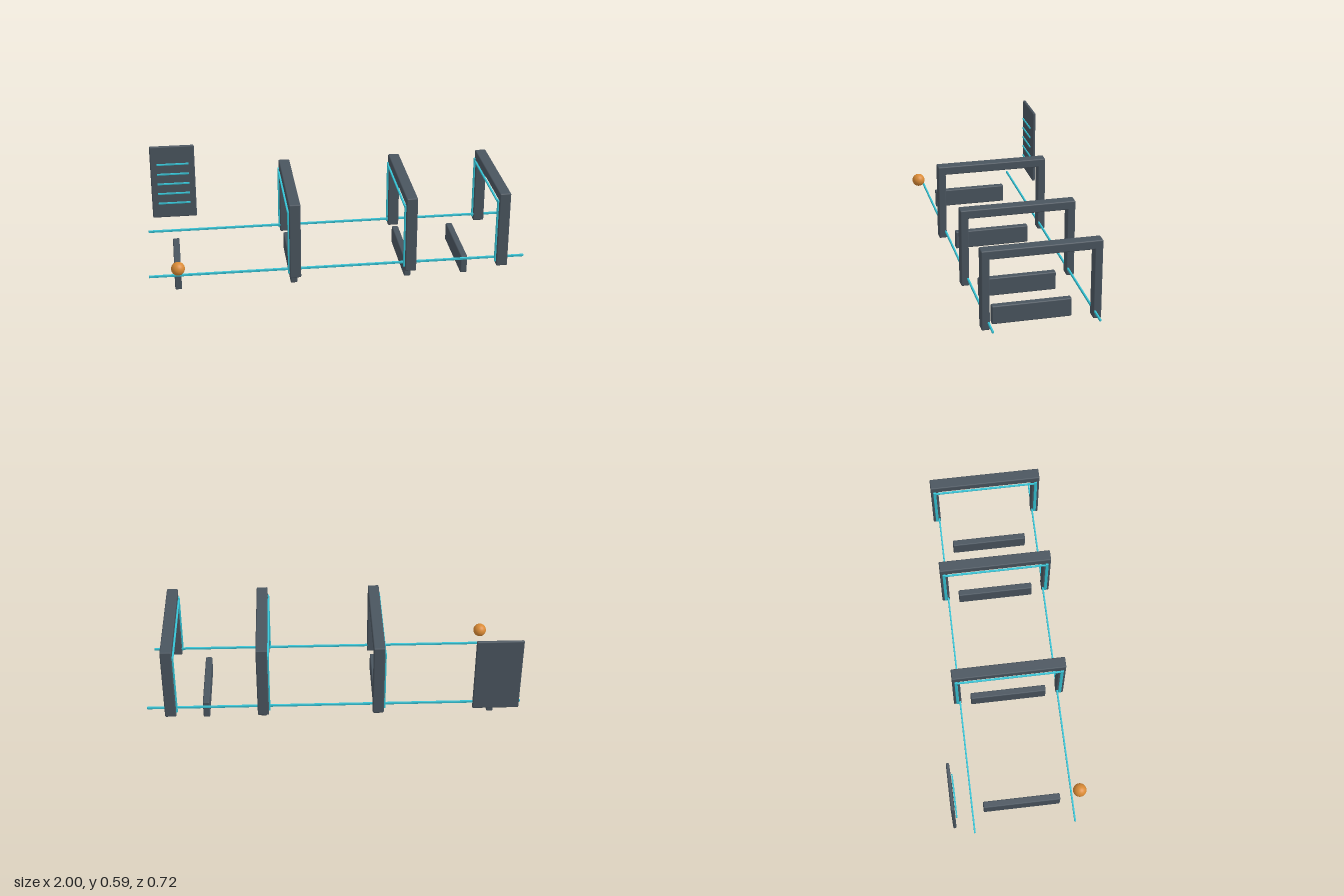
import * as THREE from 'three';
import { RoundedBoxGeometry } from 'three/addons/geometries/RoundedBoxGeometry.js';

const slate = new THREE.MeshStandardMaterial({ name: 'slate', color: 0x4a555f });
const cyan = new THREE.MeshStandardMaterial({ name: 'cyan', color: 0x35c4d6 });
const orange = new THREE.MeshStandardMaterial({ name: 'orange', color: 0xd98a35 });

// Softly rounded box given by its [min, max] range on each axis
function block(parent, name, material, x, y, z, radius) {
  const size = [x, y, z].map(([a, b]) => b - a);
  const mesh = new THREE.Mesh(new RoundedBoxGeometry(...size, 2, radius), material);
  mesh.position.set((x[0] + x[1]) / 2, (y[0] + y[1]) / 2, (z[0] + z[1]) / 2);
  mesh.name = name;
  parent.add(mesh);
}

// Range around a centre
const around = (c, width) => [c - width / 2, c + width / 2];

// Arch of two posts and a beam, with light strips along its right side
function createGate(x) {
  const gate = new THREE.Group();
  gate.name = 'gate';
  const depth = around(0, 0.06);
  const stripX = [-0.038, -0.028];
  for (const z of [0.299, -0.264]) {
    block(gate, 'post', slate, depth, [0.08, 0.485], around(z, 0.042), 0.006);
    block(gate, 'postStrip', cyan, stripX, [0.1, 0.46], around(z, 0.016), 0.002);
  }
  block(gate, 'beam', slate, depth, [0.456, 0.503], [-0.285, 0.32], 0.006);
  block(gate, 'beamStrip', cyan, stripX, [0.441, 0.451], [-0.256, 0.291], 0.002);
  gate.position.x = x;
  return gate;
}

export function createModel() {
  const model = new THREE.Group();
  model.name = 'gateTrack';

  for (const x of [-0.235, 0.38, 0.875]) model.add(createGate(x));

  // Low barriers across the lane
  for (const x of [-0.85, -0.235, 0.38, 0.69]) {
    block(model, 'barrier', slate, around(x, 0.036), [0, 0.101], [-0.19, 0.225], 0.006);
  }

  // Long side rails
  for (const z of [0.285, -0.251]) {
    block(model, 'rail', cyan, [-1, 1], [0.112, 0.125], around(z, 0.009), 0.002);
  }

  // Display board with five lines
  const board = new THREE.Group();
  board.name = 'board';
  block(board, 'panel', slate, [-0.972, -0.726], [0.157, 0.587], [-0.361, -0.344], 0.007);
  for (let i = 0; i < 5; i++) {
    block(board, 'boardLine', cyan, [-0.937, -0.76], around(0.248 + i * 0.0587, 0.01), [-0.34, -0.333], 0.002);
  }
  model.add(board);

  // Marker ball beside the front rail
  const ball = new THREE.Mesh(new THREE.SphereGeometry(0.036, 32, 20), orange);
  ball.name = 'ball';
  ball.position.set(-0.848, 0.179, 0.327);
  model.add(ball);

  return model;
}
